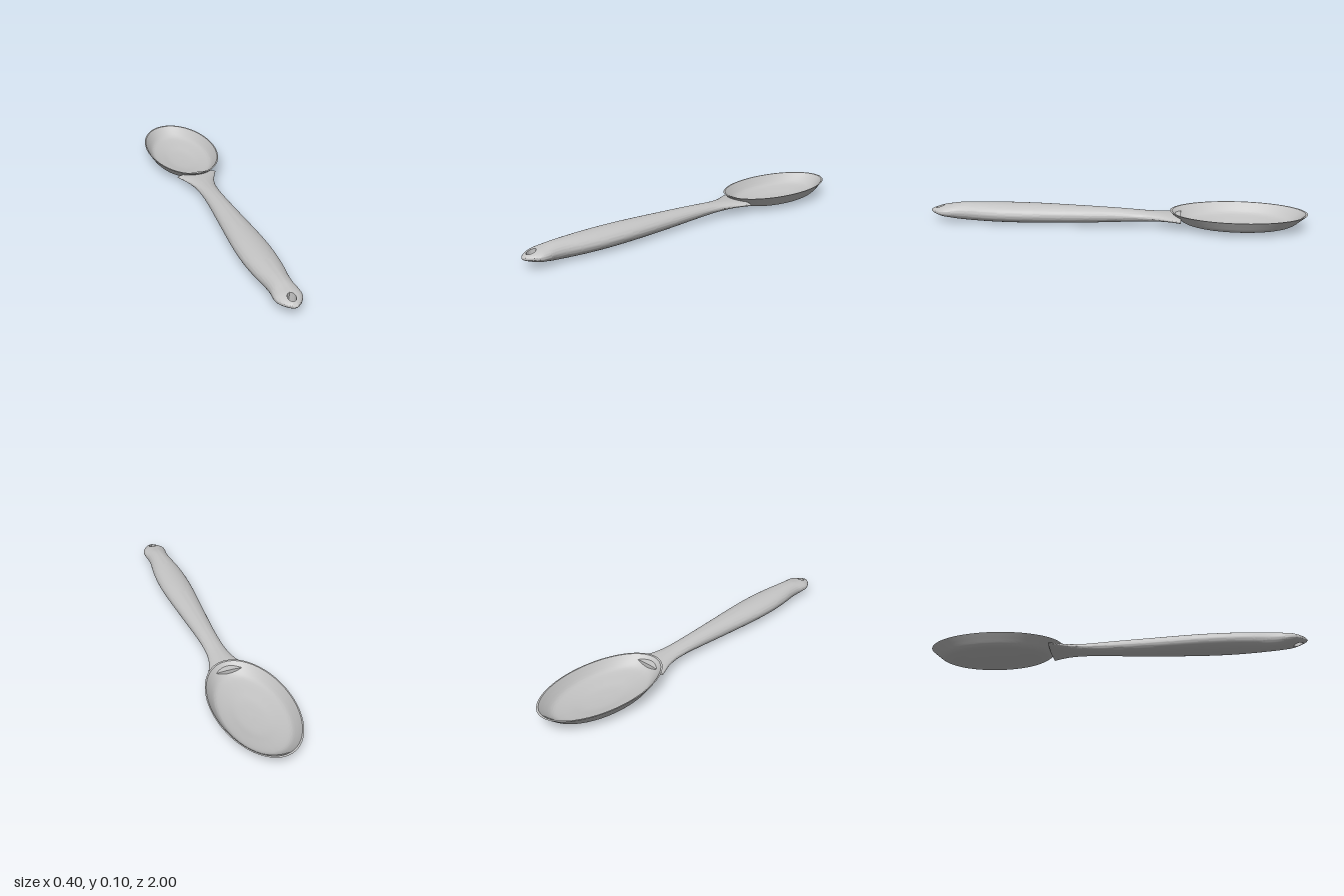
import * as THREE from 'three';
import { toCreasedNormals } from 'three/addons/utils/BufferGeometryUtils.js';

// Handle stations from the bowl to the tip: z, half width, half height, centre height
const STATIONS = [
  [-0.345, 0.113, 0.016, 0.052], [-0.3, 0.092, 0.019, 0.053], [-0.25, 0.071, 0.022, 0.053],
  [-0.18, 0.055, 0.026, 0.053], [-0.1, 0.05, 0.031, 0.054], [0, 0.052, 0.037, 0.054],
  [0.2, 0.065, 0.045, 0.053], [0.4, 0.079, 0.05, 0.0535], [0.5, 0.083, 0.051, 0.0535],
  [0.6, 0.082, 0.051, 0.0535], [0.7, 0.074, 0.05, 0.054], [0.8, 0.061, 0.047, 0.055],
  [0.85, 0.06, 0.043, 0.055], [0.89, 0.065, 0.036, 0.055], [0.92, 0.065, 0.031, 0.055],
  [0.95, 0.054, 0.023, 0.055], [0.98, 0.031, 0.014, 0.055], [0.993, 0.014, 0.008, 0.055],
  [1, 0, 0, 0.055],
];
const HOLE = { z: 0.95, rx: 0.02, rz: 0.024 };
const ROWS = 280, ARC = 24;

// One half of a cross-section: over the top, round the side, back under
function halfRing(z, w, h, c) {
  const inner = HOLE.rx * Math.sqrt(Math.max(0, 1 - ((z - HOLE.z) / HOLE.rz) ** 2));
  const points = [];
  for (let j = 0; j <= ARC; j++) {
    const a = (j / ARC) * Math.PI;
    const x = inner + (w - inner) * Math.sin(a);
    const rise = w > 1e-6 ? Math.sqrt(Math.max(0, 1 - (x / w) ** 2)) : 0;
    points.push([j === ARC ? inner : x, c + Math.sign(Math.cos(a)) * h * rise, z]);
  }
  return { points, inner };
}

function handleGeometry() {
  const widths = new THREE.CatmullRomCurve3(STATIONS.map(([z, w, h]) => new THREE.Vector3(w, h, z)));
  const centreAt = (z) => {
    let i = 0;
    while (i < STATIONS.length - 2 && STATIONS[i + 1][0] < z) i++;
    const [p, q] = [STATIONS[i], STATIONS[i + 1]];
    return THREE.MathUtils.lerp(p[3], q[3], (z - p[0]) / (q[0] - p[0]));
  };
  const rings = [];
  for (let i = 0; i <= ROWS; i++) {
    const p = widths.getPoint(i / ROWS);
    rings.push(halfRing(p.z, Math.max(0, p.x), Math.max(0, p.y), centreAt(p.z)));
  }

  const positions = [];
  const triangle = (a, b, c) => {
    positions.push(...a, ...b, ...c);
    for (const p of [a, c, b]) positions.push(-p[0], p[1], p[2]); // mirrored half
  };
  const quad = (a, b, c, d) => { triangle(a, b, c); triangle(a, c, d); };

  for (let i = 0; i < ROWS; i++) {
    const r = rings[i], s = rings[i + 1];
    for (let j = 0; j < ARC; j++) quad(r.points[j], s.points[j], s.points[j + 1], r.points[j + 1]);
    // wall of the hanging hole
    if (r.inner > 0 || s.inner > 0) quad(r.points[ARC], s.points[ARC], s.points[0], r.points[0]);
  }
  // flat end inside the bowl
  const end = rings[0].points, middle = [0, STATIONS[0][3], STATIONS[0][0]];
  for (let j = 0; j < ARC; j++) triangle(middle, end[j], end[j + 1]);

  const geometry = new THREE.BufferGeometry();
  geometry.setAttribute('position', new THREE.Float32BufferAttribute(positions, 3));
  return toCreasedNormals(geometry, 0.7);
}

function bowlGeometry() {
  const smooth = (pts, n) => new THREE.SplineCurve(pts.map(([x, y]) => new THREE.Vector2(x, y))).getPoints(n);
  // underside and outer wall, then rim, then inner wall and floor
  const outer = smooth([[0, 0], [0.3, 0.003], [0.52, 0.011], [0.72, 0.021], [0.82, 0.034], [0.91, 0.059], [1, 0.086]], 30);
  const inner = smooth([[0.97, 0.086], [0.885, 0.06], [0.795, 0.038], [0.7, 0.028], [0.5, 0.018], [0.3, 0.01], [0, 0.007]], 30);
  const geometry = new THREE.LatheGeometry([...outer, ...inner], 96);
  geometry.scale(0.199, 1, 0.357);
  geometry.translate(0, 0, -0.643);
  return toCreasedNormals(geometry, 0.6);
}

export function createModel() {
  const grey = new THREE.MeshStandardMaterial({ color: 0xc4c4c4 });
  grey.name = 'light grey';

  const spoon = new THREE.Group();
  spoon.name = 'spoon';
  const add = (name, geometry) => {
    const mesh = new THREE.Mesh(geometry, grey);
    mesh.name = name;
    spoon.add(mesh);
  };
  add('bowl', bowlGeometry());
  add('handle', handleGeometry());
  return spoon;
}
